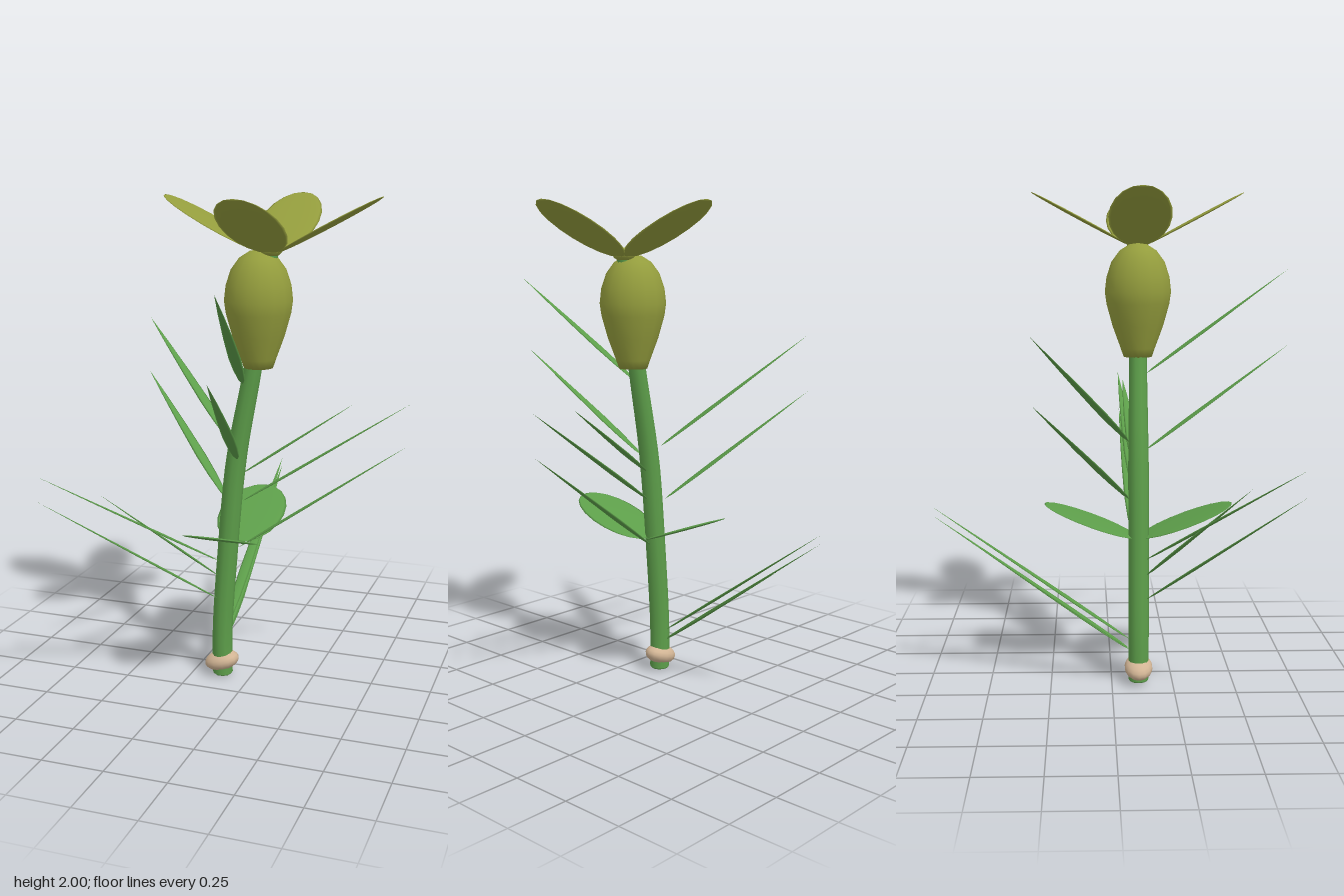
import * as THREE from 'three';

const V = (x, y, z) => new THREE.Vector3(x, y, z);
const CZ = 0.11; // depth of the stem axis

export function createModel() {
  const model = new THREE.Group();
  model.name = 'flowerStalk';

  const paint = (name, color) => {
    const m = new THREE.MeshStandardMaterial({ color });
    m.name = name;
    return m;
  };
  const green = paint('leafGreen', 0x5d9e4a);
  const olive = paint('olive', 0x949d3d);
  const beige = paint('beige', 0xd2b595);

  const add = (name, geometry, material) => {
    const mesh = new THREE.Mesh(geometry, material);
    mesh.name = name;
    model.add(mesh);
    return mesh;
  };

  // Turns a blade so that +y runs from base to tip and its flat side (z) faces up
  const aim = (mesh, base, tip) => {
    const dir = tip.clone().sub(base).normalize();
    const side = dir.clone().cross(V(0, 1, 0)).normalize();
    const flat = side.clone().cross(dir);
    mesh.quaternion.setFromRotationMatrix(new THREE.Matrix4().makeBasis(side, dir, flat));
    mesh.position.copy(base);
  };

  // Flat oval blade for petals and leaves
  const oval = (name, base, tip, width, material) => {
    const length = base.distanceTo(tip);
    const g = new THREE.SphereGeometry(1, 16, 10);
    g.scale(width / 2, length / 2, 0.006).translate(0, length / 2, 0);
    aim(add(name, g, material), base, tip);
  };

  // Slender flattened needle, widest a third of the way up
  const needle = (base, tip) => {
    const length = base.distanceTo(tip);
    const profile = [[0.0001, 0], [0.013, 0.05], [0.021, 0.18], [0.024, 0.32], [0.019, 0.55], [0.01, 0.8], [0.0001, 1]];
    const g = new THREE.LatheGeometry(profile.map(([r, t]) => new THREE.Vector2(r, t * length)), 8);
    g.scale(1, 1, 0.2);
    aim(add('needle', g, green), base, tip);
  };

  // Curved stem, rounded at the foot
  const path = new THREE.CatmullRomCurve3([
    V(-0.12, 0.015, CZ), V(-0.12, 0.2, CZ), V(-0.095, 0.55, CZ),
    V(-0.055, 0.95, CZ), V(0.02, 1.35, CZ), V(0.09, 1.79, CZ),
  ]);
  const stem = new THREE.TubeGeometry(path, 24, 0.042, 10);
  const pos = stem.attributes.position;
  for (let i = 0; i < pos.count; i++) {
    const ring = Math.floor(i / 11);
    const c = path.getPointAt(ring / 24);
    const k = 1 - 0.3 * Math.max(0, (c.y - 0.9) / 0.9);
    pos.setXYZ(i, c.x + (pos.getX(i) - c.x) * k, c.y + (pos.getY(i) - c.y) * k, c.z + (pos.getZ(i) - c.z) * k);
  }
  add('stem', stem, green);
  const foot = new THREE.SphereGeometry(0.042, 10, 6).scale(1, 0.35, 1);
  add('stemFoot', foot, green).position.set(-0.12, 0.015, CZ);

  // Beige knot around the foot
  const knot = add('knot', new THREE.SphereGeometry(1, 14, 10).scale(0.076, 0.041, 0.058), beige);
  knot.position.set(-0.124, 0.066, CZ);
  knot.rotation.z = 0.28;

  // Swollen bud
  const bud = [[0, 1.335], [0.058, 1.335], [0.07, 1.37], [0.103, 1.46], [0.128, 1.55], [0.135, 1.6],
    [0.128, 1.66], [0.108, 1.72], [0.075, 1.765], [0.035, 1.79], [0, 1.795]];
  const budMesh = add('bud', new THREE.LatheGeometry(bud.map(([r, y]) => new THREE.Vector2(r, y)), 16), olive);
  budMesh.position.set(0.04, 0, CZ);

  // Flower: four petals around a small heart
  const heart = add('heart', new THREE.SphereGeometry(0.046, 14, 8).scale(1, 0.6, 1), olive);
  heart.position.set(0.09, 1.795, CZ);
  for (let i = 0; i < 4; i++) {
    const a = (i * Math.PI) / 2;
    const at = (r, y) => V(0.09 + r * Math.cos(a), y, CZ + r * Math.sin(a));
    oval('petal', at(0.03, 1.785), at(0.436, 2), 0.25, olive);
  }

  // Front and back leaf
  for (const s of [1, -1]) {
    oval('leaf', V(-0.055, 0.6, CZ + s * 0.005), V(-0.055, 0.742, CZ + s * 0.385), 0.285, green);
  }

  // Needles as base and tip: x, y, z
  [
    [-0.015, 1.27, 0.14, 0.09, 1.69, 0.73], [-0.04, 0.96, 0.14, 0.06, 1.38, 0.73],
    [-0.08, 1.0, 0.07, -0.6, 1.455, -0.3], [-0.11, 0.77, 0.07, -0.61, 1.215, -0.3],
    [-0.12, 0.52, 0.14, -0.64, 0.98, 0.69], [-0.13, 0.355, 0.14, -0.64, 0.88, 0.69],
    [-0.125, 0.455, 0.14, -0.47, 0.88, 0.52], [-0.035, 0.775, 0.1, 0.64, 1.215, 0.045],
    [-0.03, 0.895, 0.1, 0.42, 1.205, 0.06], [-0.05, 0.575, 0.1, 0.63, 1.045, 0.05],
    [-0.125, 0.185, 0.075, -0.12, 0.745, -0.725], [-0.125, 0.145, 0.075, -0.12, 0.71, -0.725],
    [-0.125, 0.14, 0.075, -0.12, 0.56, -0.52],
  ].forEach(([a, b, c, d, e, f]) => needle(V(a, b, c), V(d, e, f)));

  return model;
}
